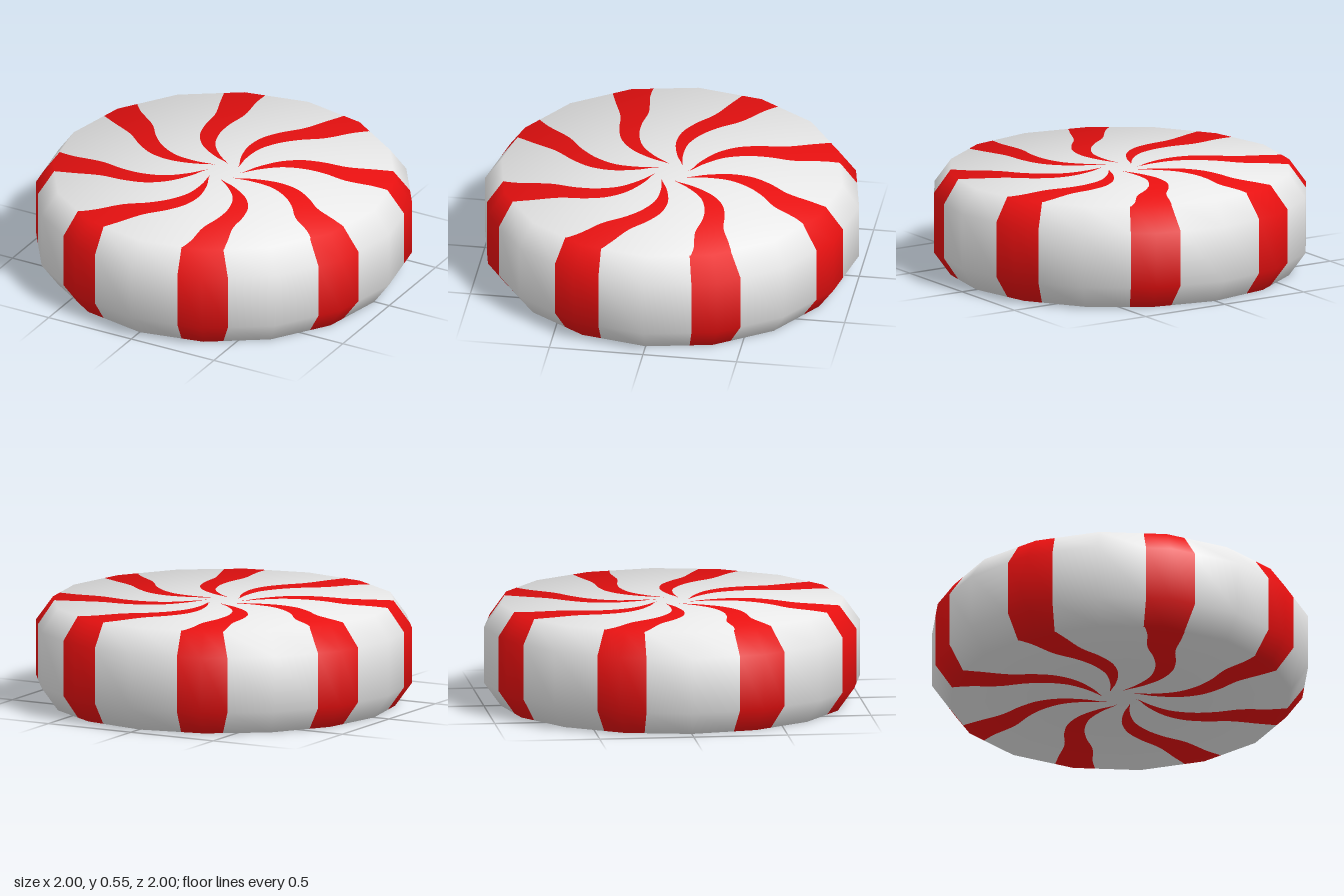
import * as THREE from 'three';

const RAD = Math.PI / 180;
const HEIGHT = 0.545;
const RIM_R = 0.91;

// Stripe edges on the flat face: radius, clockwise edge, counter-clockwise edge
// (degrees from the middle of the stripe at the rim)
const SWIRL = [
  [0.085, -6, -6], [0.14, 8, 15], [0.2, 14, 24], [0.3, 15.5, 27.5], [0.42, 10.5, 24.5],
  [0.53, 4, 18], [0.65, -2.8, 11], [0.81, -5.5, 8], [0.91, -7.7, 6.6],
];

// Radius of a 16-sided outline, with a corner at offset 0
function polygonScale(deg) {
  const half = 11.25;
  const local = ((deg % 22.5) + 22.5) % 22.5;
  return Math.cos(half * RAD) / Math.cos((local - half) * RAD);
}

// All rings from the centre of the top, over the rim, to the centre of the bottom
function makeRings() {
  const curve = new THREE.CatmullRomCurve3(
    SWIRL.map((p) => new THREE.Vector3(...p)), false, 'catmullrom', 0.5);
  const face = curve.getPoints(40).map((p) => ({
    r: p.x, cw: p.y, ccw: p.z, mid: (p.y + p.z) / 2, poly: false,
  }));
  face.unshift({ ...face[0], r: 0 });
  Object.assign(face[face.length - 1], { r: RIM_R, mid: 0, poly: true });

  // slope and lift give the soft normals of the face
  const slope = Math.sin(28 * RAD) / RIM_R;
  const lift = Math.cos(28 * RAD);
  const side = { r: 1, cw: -7.7, ccw: 8, mid: 0, poly: true, slope: 0.951 };
  return [
    ...face.map((f) => ({ ...f, y: HEIGHT, slope, lift })),
    { ...side, y: 0.42, lift: 0.309 },
    { ...side, y: 0.125, lift: -0.309 },
    ...face.slice().reverse().map((f) => ({ ...f, y: 0, slope, lift: -lift })),
  ];
}

// Point and normal on a ring at an angle offset within one sector
function ringPoint(ring, deg, centre) {
  const r = ring.r * (ring.poly ? polygonScale(deg) : 1);
  const a = (centre + deg) * RAD;
  const pos = new THREE.Vector3(r * Math.cos(a), ring.y, -r * Math.sin(a));
  const normal = new THREE.Vector3(pos.x * ring.slope, ring.lift, pos.z * ring.slope).normalize();
  return { pos, normal };
}

// Surface between pairs of columns, repeated around the eight sectors
function buildBands(rings, columnPairs) {
  const positions = [];
  const normals = [];
  const triangle = (...corners) => {
    const [a, b, c] = corners.map((k) => k.pos);
    const area = b.clone().sub(a).cross(c.clone().sub(a)).length();
    if (area < 1e-9) return;
    for (const k of corners) {
      positions.push(...k.pos.toArray());
      normals.push(...k.normal.toArray());
    }
  };
  for (let s = 0; s < 8; s++) {
    const centre = 22.5 + 45 * s;
    for (const [from, to] of columnPairs) {
      for (let i = 0; i < rings.length - 1; i++) {
        const p = rings[i];
        const q = rings[i + 1];
        const a = ringPoint(p, from(p), centre);
        const b = ringPoint(q, from(q), centre);
        const c = ringPoint(q, to(q), centre);
        const d = ringPoint(p, to(p), centre);
        triangle(a, b, c);
        triangle(a, c, d);
      }
    }
  }
  const geometry = new THREE.BufferGeometry();
  geometry.setAttribute('position', new THREE.Float32BufferAttribute(positions, 3));
  geometry.setAttribute('normal', new THREE.Float32BufferAttribute(normals, 3));
  return geometry;
}

export function createModel() {
  const white = new THREE.MeshStandardMaterial({ color: 0xf4f4f4 });
  white.name = 'sugarWhite';
  const red = new THREE.MeshStandardMaterial({ color: 0xf01111 });
  red.name = 'peppermintRed';

  const rings = makeRings();
  const start = (g) => g.mid - 22.5;
  const cw = (g) => g.cw;
  const mid = (g) => g.mid;
  const ccw = (g) => g.ccw;
  const end = (g) => g.mid + 22.5;

  const group = new THREE.Group();
  group.name = 'peppermintCandy';

  // White candy between the stripes
  const body = new THREE.Mesh(buildBands(rings, [[start, cw], [ccw, end]]), white);
  body.name = 'candyBody';

  // Red swirls running over both faces and the rim
  const stripes = new THREE.Mesh(buildBands(rings, [[cw, mid], [mid, ccw]]), red);
  stripes.name = 'swirlStripes';

  group.add(body, stripes);
  return group;
}
